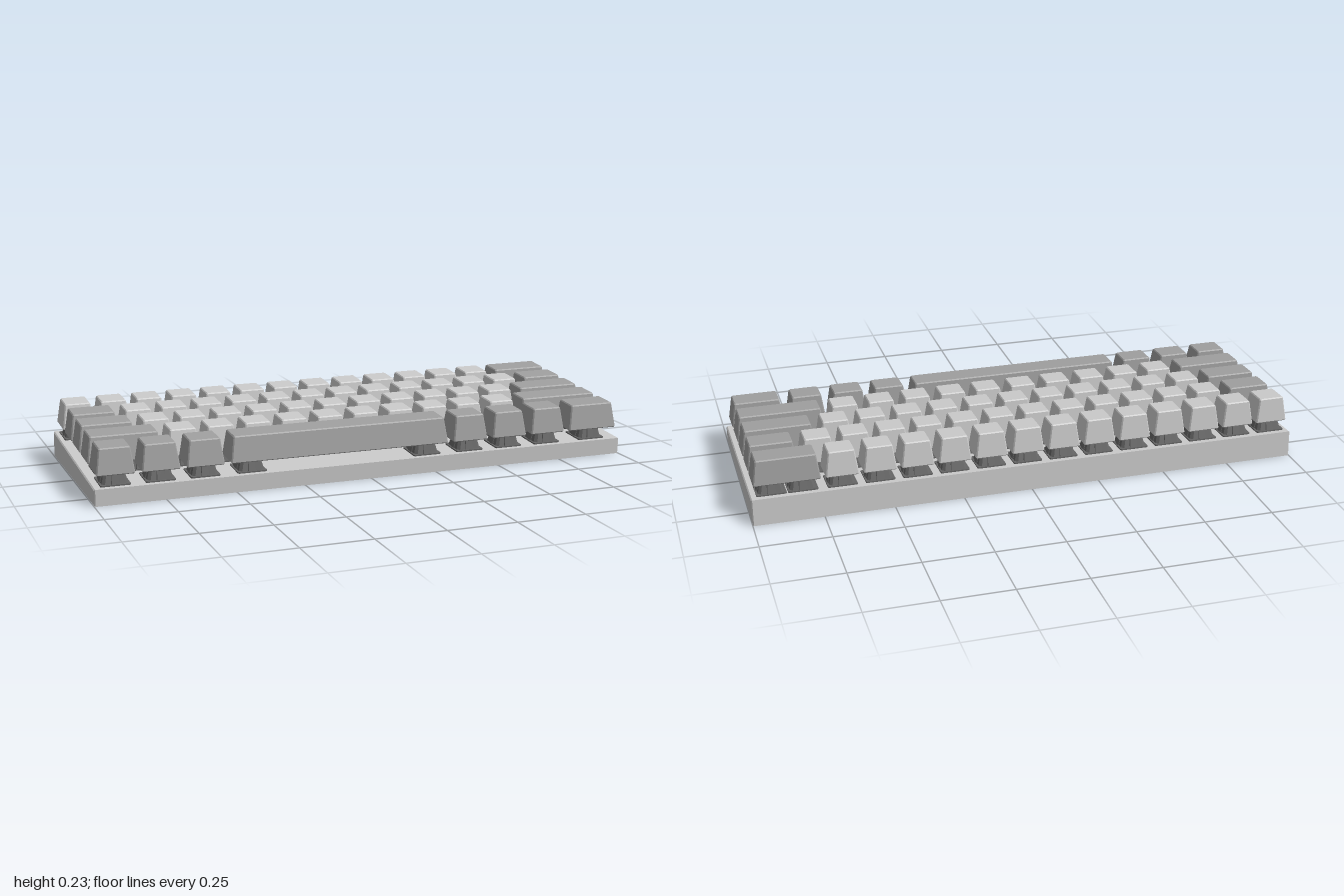
import * as THREE from 'three';

const TILT = 0.0524;       // slope of the case top
const UNIT = 0.1175;       // width of a single key
const HALF = 0.988;        // half length of a key row
const KEY_Y = 0.041;       // gap between case top and key skirt

const paint = (color) => new THREE.MeshStandardMaterial({ color, flatShading: true });
const caseMat = paint(0xcccccc);
const lightMat = paint(0xbdbdbd);
const darkMat = paint(0xa0a0a0);
const switchMat = paint(0x666666);

// Stack of rectangles with clipped corners, closed at both ends.
// Each level is [width, depth, y, z offset, corner cut], from bottom to top.
function loft(levels) {
  const pos = [], index = [];
  for (const [w, d, y, z, c] of levels) {
    const a = w / 2, b = d / 2;
    const loop = [[a, b - c], [a, c - b], [a - c, -b], [c - a, -b],
      [-a, c - b], [-a, b - c], [c - a, b], [a - c, b]];
    for (const [px, pz] of loop) pos.push(px, y, pz + z);
  }
  const top = (levels.length - 1) * 8;
  for (let l = 0; l < top; l += 8) {
    for (let i = 0; i < 8; i++) {
      const j = (i + 1) % 8;
      index.push(l + i, l + j, l + 8 + j, l + i, l + 8 + j, l + 8 + i);
    }
  }
  for (let i = 1; i < 7; i++) {
    index.push(top, top + i, top + i + 1);
    index.push(0, i + 1, i);
  }
  const g = new THREE.BufferGeometry();
  g.setAttribute('position', new THREE.Float32BufferAttribute(pos, 3));
  g.setIndex(index);
  const flat = g.toNonIndexed();
  flat.computeVertexNormals();
  return flat;
}

function addMesh(parent, name, geometry, material, x = 0, y = 0, z = 0) {
  const m = new THREE.Mesh(geometry, material);
  m.name = name;
  m.position.set(x, y, z);
  parent.add(m);
  return m;
}

// Wedge-shaped case: side profile extruded along x with a fine bevel
function makeCase() {
  const bevel = 0.004;
  const shape = new THREE.Shape([[-0.35, 0], [0.352, 0], [0.348, 0.097], [-0.354, 0.06]]
    .map(([x, y]) => new THREE.Vector2(x, y)));
  const g = new THREE.ExtrudeGeometry(shape, {
    depth: 2 - 2 * bevel, bevelEnabled: true, bevelSize: bevel,
    bevelThickness: bevel, bevelOffset: -bevel, bevelSegments: 1,
  });
  g.translate(0, 0, bevel - 1);
  g.rotateY(Math.PI / 2);
  return g;
}

// Tapered cap with a softened top edge
function capGeometry(w) {
  const d = 0.118;
  return loft([
    [w - 0.004, d - 0.004, 0, 0, 0.004],
    [w, d, 0.003, 0, 0.004],
    [w - 0.024, d - 0.023, 0.088, -0.006, 0.004],
    [w - 0.031, d - 0.03, 0.092, -0.006, 0.004],
  ]);
}

// Switch parts: flange on the case, tapered housing, ribs on its four sides
const flangeGeo = loft([[0.105, 0.105, -0.002, 0, 0.004], [0.105, 0.105, 0.005, 0, 0.004]]);
const housingGeo = loft([[0.092, 0.092, 0.004, 0, 0.01], [0.07, 0.07, 0.046, 0, 0.008]]);
const ribGeo = loft([[0.03, 0.098, 0.004, 0, 0.002], [0.026, 0.075, 0.046, 0, 0.002]]);

function addSwitch(parent, x, z) {
  const s = new THREE.Group();
  s.name = 'switch';
  s.position.set(x, 0, z);
  addMesh(s, 'switchFlange', flangeGeo, switchMat);
  addMesh(s, 'switchHousing', housingGeo, switchMat);
  addMesh(s, 'switchRib', ribGeo, switchMat);
  addMesh(s, 'switchCrossRib', ribGeo, switchMat).rotation.y = Math.PI / 2;
  parent.add(s);
}

export function createModel() {
  const model = new THREE.Group();
  model.name = 'keyboard';
  addMesh(model, 'case', makeCase(), caseMat);

  // Everything on the sloped top shares its tilt
  const deck = new THREE.Group();
  deck.name = 'keys';
  deck.position.y = 0.0785;
  deck.rotation.x = TILT;
  model.add(deck);

  // Key widths in units, front row first
  const ones = (n) => Array(n).fill(1);
  const rows = [
    [1.14, 1.14, 1.14, 6.95, 1.14, 1.14, 1.14, 1.64],
    [2.25, ...ones(10), 2.75],
    [1.75, ...ones(11), 2.25],
    [1.5, ...ones(12), 1.5],
    [...ones(13), 2],
  ];
  const caps = {};
  rows.forEach((row, r) => {
    const total = row.reduce((sum, u) => sum + u, 0) * UNIT;
    const gap = (2 * HALF - total) / (row.length - 1);
    const z = 0.283 - 0.1393 * r;
    let x = -HALF;
    for (const u of row) {
      const w = u * UNIT, cx = x + w / 2;
      caps[u] ??= capGeometry(w);
      const name = u > 6 ? 'spaceBar' : u > 1 ? 'modifierKey' : 'letterKey';
      addMesh(deck, name, caps[u], u > 1 ? darkMat : lightMat, cx, KEY_Y, z);
      // Long keys rest on a switch near each end
      const reach = u >= 2 ? Math.max(0.055, w / 2 - 0.078) : 0;
      for (const side of reach ? [-1, 1] : [0]) addSwitch(deck, cx + side * reach, z);
      x += w + gap;
    }
  });
  return model;
}
